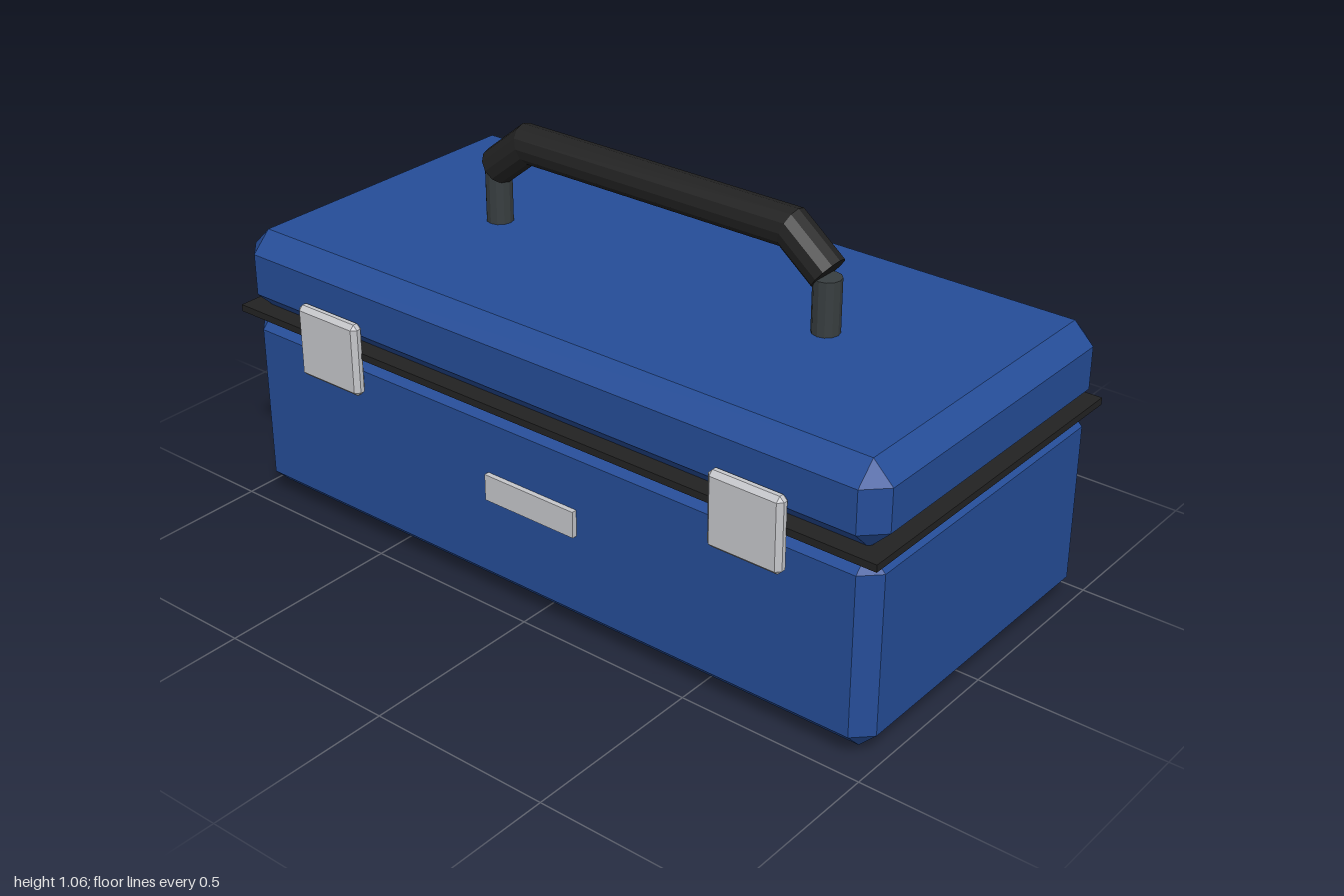
import * as THREE from 'three';
import { ConvexGeometry } from 'three/addons/geometries/ConvexGeometry.js';

const material = (name, color) => {
  const m = new THREE.MeshStandardMaterial({ color });
  m.name = name;
  return m;
};

// Box with every edge cut off at the given chamfer
function chamferBox(w, h, d, c) {
  const points = [];
  for (const sx of [-1, 1]) for (const sy of [-1, 1]) for (const sz of [-1, 1])
    for (let axis = 0; axis < 3; axis++) {
      const [x, y, z] = [w / 2, h / 2, d / 2].map((v, i) => (i === axis ? v : v - c));
      points.push(new THREE.Vector3(sx * x, sy * y, sz * z));
    }
  return new ConvexGeometry(points);
}

// Faceted tube along a path in the xy plane, with mitred bends and closed ends
function mitredTube(path, radius, sides) {
  const pos = [], index = [];
  const last = path.length - 1;
  const direction = (i) => path[i + 1].clone().sub(path[i]).normalize();
  path.forEach((p, i) => {
    const a = direction(Math.max(i - 1, 0)), b = direction(Math.min(i, last - 1));
    const t = a.clone().add(b).normalize();
    const stretch = radius / t.dot(a);
    for (let k = 0; k < sides; k++) {
      const angle = (k / sides) * Math.PI * 2;
      const n = Math.cos(angle) * stretch;
      pos.push(p.x - t.y * n, p.y + t.x * n, Math.sin(angle) * radius);
    }
  });
  for (let k = 0; k < sides; k++) {
    const k2 = (k + 1) % sides;
    for (let i = 0; i < last; i++) {
      const r = i * sides, s = r + sides;
      index.push(r + k, r + k2, s + k, r + k2, s + k2, s + k);
    }
    if (k > 0 && k < sides - 1) {
      const e = last * sides;
      index.push(0, k + 1, k, e, e + k, e + k + 1);
    }
  }
  const indexed = new THREE.BufferGeometry();
  indexed.setAttribute('position', new THREE.Float32BufferAttribute(pos, 3));
  indexed.setIndex(index);
  const geometry = indexed.toNonIndexed();
  geometry.computeVertexNormals();
  return geometry;
}

export function createModel() {
  const group = new THREE.Group();
  group.name = 'toolbox';
  const blue = material('blue paint', 0x254d98);
  const black = material('black rubber', 0x222222);
  const steel = material('dark steel', 0x383e40);
  const silver = material('silver metal', 0xc6c7cb);
  for (const m of [black, steel]) m.flatShading = true;

  const add = (name, geometry, mat, x, y, z) => {
    const mesh = new THREE.Mesh(geometry, mat);
    mesh.name = name;
    mesh.position.set(x, y, z);
    group.add(mesh);
    return mesh;
  };
  const midZ = -0.01;

  // Case, seal strip and lid
  add('body', chamferBox(1.97, 0.52, 0.938, 0.046), blue, 0, 0.282, midZ);
  add('seal', new THREE.BoxGeometry(2, 0.019, 0.966), black, 0, 0.546, midZ);
  add('lid', chamferBox(1.986, 0.221, 0.955, 0.054), blue, 0, 0.658, midZ);

  // Name plate on the front
  add('plate', new THREE.BoxGeometry(0.284, 0.072, 0.016), silver, 0, 0.321, 0.465);

  // Latches, handle posts and feet, mirrored left and right
  const latch = chamferBox(0.208, 0.2, 0.036, 0.012);
  const post = new THREE.CylinderGeometry(0.036, 0.036, 0.16, 12);
  const foot = new THREE.CylinderGeometry(0.056, 0.056, 0.03, 16);
  for (const side of [-1, 1]) {
    const label = side > 0 ? 'left' : 'right';
    add(label + 'Latch', latch, silver, side * 0.658, 0.535, 0.477);
    add(label + 'HandlePost', post, steel, side * 0.517, 0.83, midZ);
    add(label + 'FrontFoot', foot, black, side * 0.85, 0.015, 0.317);
    add(label + 'RearFoot', foot, black, side * 0.85, 0.015, -0.338);
  }

  // Carrying handle
  const path = [[-0.517, 0.92], [-0.41, 1.006], [0.41, 1.006], [0.517, 0.92]]
    .map(([x, y]) => new THREE.Vector2(x, y));
  add('handle', mitredTube(path, 0.051, 12), black, 0, 0, midZ);

  return group;
}
